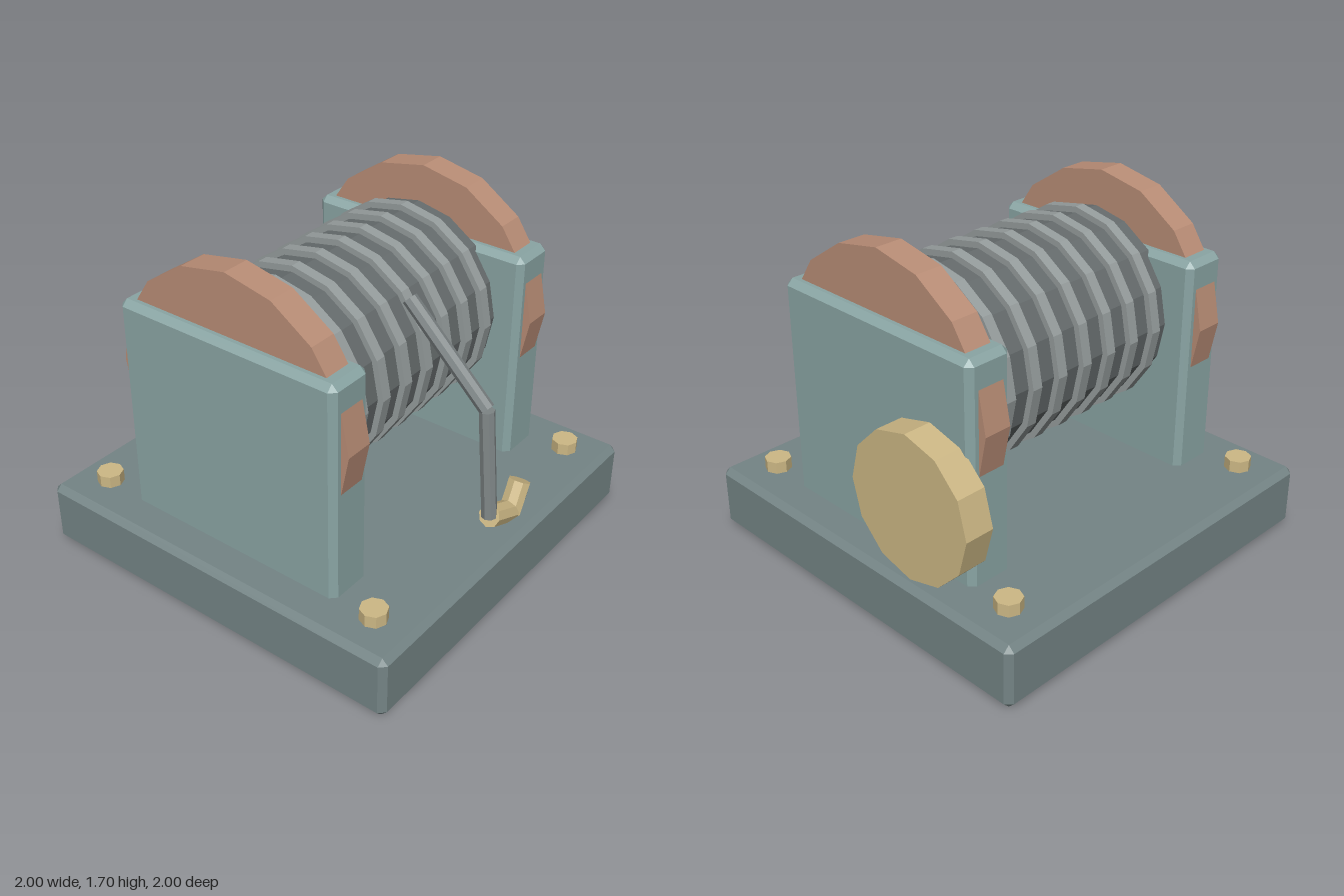
import * as THREE from 'three';
import { ConvexGeometry } from 'three/addons/geometries/ConvexGeometry.js';

const material = (color) => new THREE.MeshStandardMaterial({ color, flatShading: true });
const baseMat = material(0x748485);
const postMat = material(0x8aa5a4);
const copperMat = material(0xb98d76);
const brassMat = material(0xcdb885);
const drumMat = material(0x656b6c);
const ribMat = material(0x969d9d);
const rodMat = material(0x7f8687);

export function createModel() {
  const group = new THREE.Group();

  function add(name, geometry, mat, x = 0, y = 0, z = 0) {
    const mesh = new THREE.Mesh(geometry, mat);
    mesh.name = name;
    mesh.position.set(x, y, z);
    group.add(mesh);
    return mesh;
  }

  // Box with every edge chamfered by c
  function chamferBox(w, h, d, c) {
    const points = [];
    for (const sx of [-1, 1]) for (const sy of [-1, 1]) for (const sz of [-1, 1]) {
      for (let full = 0; full < 3; full++) {
        const inset = [c, c, c];
        inset[full] = 0;
        points.push(new THREE.Vector3(
          sx * (w / 2 - inset[0]), sy * (h / 2 - inset[1]), sz * (d / 2 - inset[2])));
      }
    }
    return new ConvexGeometry(points);
  }

  // Disc or drum lying along x
  const wheel = (radius, width, sides) =>
    new THREE.CylinderGeometry(radius, radius, width, sides).rotateZ(Math.PI / 2);

  // Straight rod between two points
  function rod(name, from, to, radius, mat) {
    const a = new THREE.Vector3(...from);
    const b = new THREE.Vector3(...to);
    const axis = b.clone().sub(a);
    const mesh = add(name, new THREE.CylinderGeometry(radius, radius, axis.length(), 8), mat);
    mesh.position.copy(a).add(b).multiplyScalar(0.5);
    mesh.quaternion.setFromUnitVectors(new THREE.Vector3(0, 1, 0), axis.normalize());
  }

  // Base plate
  add('base', chamferBox(2, 0.32, 2, 0.03), baseMat, 0, 0.16, 0);

  // Side posts with the drum flanges set into them
  for (const side of [-1, 1]) {
    add('sidePost', chamferBox(0.24, 1.16, 1.2, 0.03), postMat, side * 0.7, 0.82, 0);
    add('flange', wheel(0.64, 0.14, 16), copperMat, side * 0.7, 1.06, 0);
  }

  // Drum and its raised cable turns
  add('drum', wheel(0.47, 1.2, 16), drumMat, 0, 1.06, 0);
  for (let i = -3; i <= 3; i++) {
    add('cableTurn', wheel(0.5, 0.054, 16), ribMat, i * 0.16, 1.06, 0);
  }

  // Motor wheel on the left side
  add('motorWheel', wheel(0.36, 0.15, 12), brassMat, 0.885, 0.682, -0.36);

  // Corner bolts
  for (const x of [-0.8, 0.8]) for (const z of [-0.8, 0.8]) {
    add('bolt', new THREE.CylinderGeometry(0.065, 0.065, 0.08, 8), brassMat, x, 0.34, z);
  }

  // Loose cable end and its hook
  rod('cableUpper', [0, 1.38, 0.38], [0, 0.97, 0.81], 0.037, rodMat);
  rod('cableLower', [0, 0.965, 0.81], [0, 0.405, 0.86], 0.037, rodMat);
  rod('hookShank', [0, 0.405, 0.86], [0.18, 0.33, 0.86], 0.055, brassMat);
  rod('hookTip', [0.18, 0.305, 0.86], [0.26, 0.46, 0.86], 0.055, brassMat);

  return group;
}
